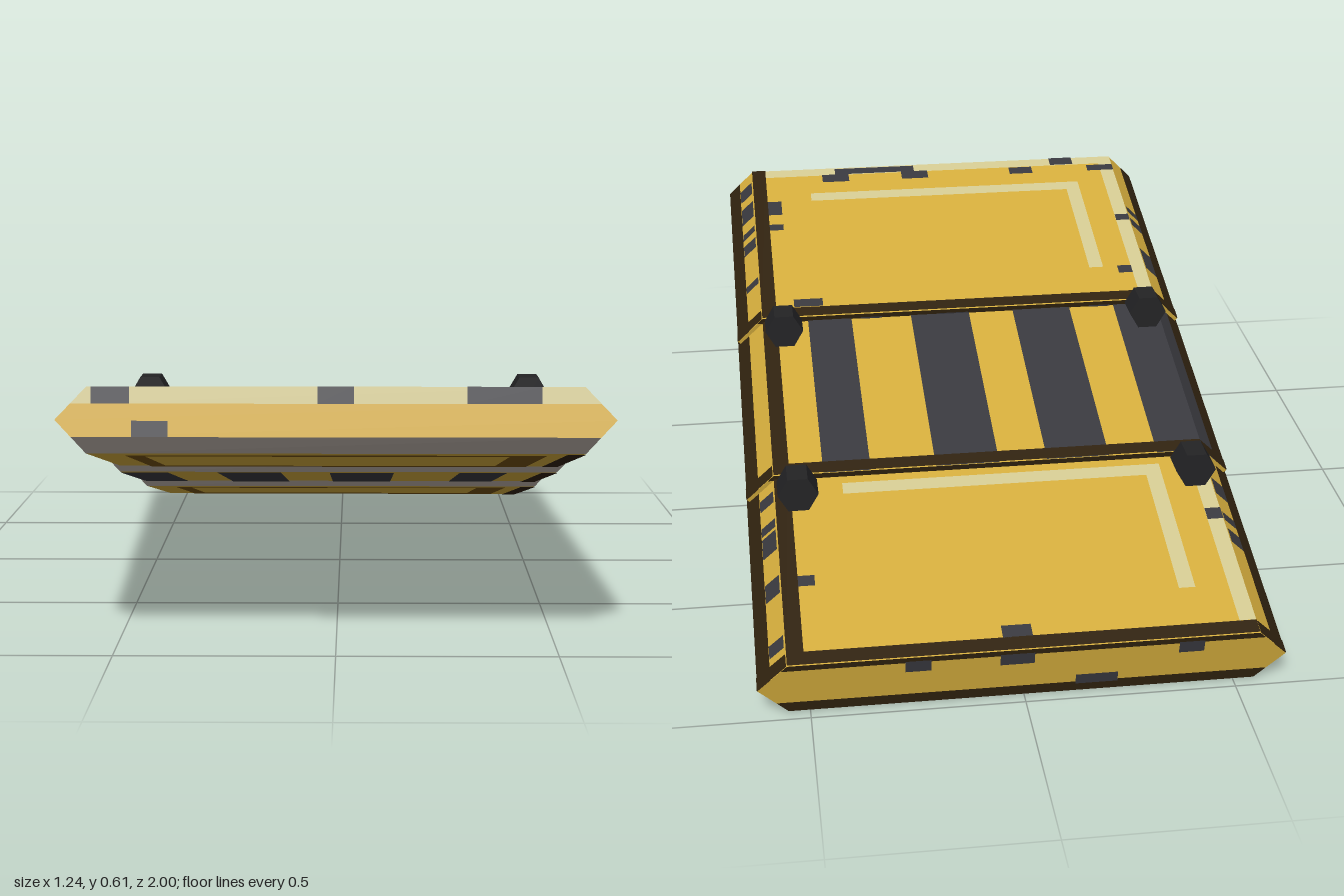
import * as THREE from 'three';

const mat = (name, color, flat = false) => {
  const m = new THREE.MeshStandardMaterial({ color, flatShading: flat });
  m.name = name;
  return m;
};

// Plate cross-section: a wide hexagon, extruded along z
const W = 0.55, M = 0.62, H = 0.074, L = 0.3725, TILT = 0.213, LIFT = 0.002;
const halfWidth = (y) => M - (M - W) * Math.abs(y) / H;

export function createModel() {
  const mats = {
    yellow: mat('safety yellow', 0xd6ae3d),
    cream: mat('worn cream', 0xd4ca92),
    ochre: mat('grime ochre', 0x74500f),
    brown: mat('dark brown edge', 0x30220f),
    charcoal: mat('charcoal', 0x39393f),
    black: mat('roller black', 0x232325, true),
  };
  const model = new THREE.Group();
  model.name = 'steppedPlatform';

  // Collects flat quads by colour and turns them into meshes
  function painter(group) {
    const bins = {};
    const quad = (c, a, b, d, e) => (bins[c] ??= []).push(...a, ...b, ...d, ...a, ...d, ...e);
    const p = {
      // strip running along z; (ax,ay) to (bx,by) goes counter-clockwise seen from +z
      strip: (c, [ax, ay], [bx, by], z0 = -L, z1 = L) =>
        quad(c, [ax, ay, z0], [bx, by, z0], [bx, by, z1], [ax, ay, z1]),
      top: (c, x0, x1, z0, z1, h = LIFT) => p.strip(c, [x1, H + h], [x0, H + h], z0, z1),
      bottom: (c, x0, x1, z0, z1, h = LIFT) => p.strip(c, [x0, -H - h], [x1, -H - h], z0, z1),
      // band on a sloped side, between heights y0 < y1
      side: (c, s, y0, y1, z0, z1, h = 0) => {
        const lo = [s * (halfWidth(y0) + h), y0], hi = [s * (halfWidth(y1) + h), y1];
        if (s > 0) p.strip(c, lo, hi, z0, z1); else p.strip(c, hi, lo, z0, z1);
      },
      // band on an end face; s = 1 front, -1 back
      end: (c, s, y0, y1) => {
        const z = s * L, a = s * halfWidth(y0), b = s * halfWidth(y1);
        quad(c, [-a, y0, z], [a, y0, z], [b, y1, z], [-b, y1, z]);
      },
      endPatch: (c, s, x0, x1, y0, y1) => {
        const z = s * (L + LIFT), a = s > 0 ? x0 : x1, b = s > 0 ? x1 : x0;
        quad(c, [a, y0, z], [b, y0, z], [b, y1, z], [a, y1, z]);
      },
      finish: () => Object.entries(bins).forEach(([c, v]) => {
        const g = new THREE.BufferGeometry();
        g.setAttribute('position', new THREE.Float32BufferAttribute(v, 3));
        g.computeVertexNormals();
        const mesh = new THREE.Mesh(g, mats[c]);
        mesh.name = `${group.name} ${mats[c].name}`;
        group.add(mesh);
      }),
    };
    return p;
  }

  function addPlate(name, step, decorate, striped) {
    const g = new THREE.Group();
    g.name = name;
    g.position.set(0, 0.301 + step * 0.15, step * 0.622);
    g.rotation.x = -TILT;
    const p = painter(g);
    // Body faces
    p.top('yellow', -W, W, -L, L, 0);
    p.bottom('yellow', -W, W, -L, L, 0);
    for (const s of [-1, 1]) {
      p.side(striped && s < 0 ? 'charcoal' : 'yellow', s, 0.033, H);
      p.side('brown', s, 0, 0.033);
      p.side(striped ? 'charcoal' : 'yellow', s, -0.038, 0);
      p.side('brown', s, -H, -0.038);
    }
    for (const [c, y0, y1] of [['brown', -H, -0.038], ['yellow', -0.038, 0], ['yellow', 0, 0.036], ['cream', 0.036, H]])
      p.end(c, 1, y0, y1);
    for (const [c, y0, y1] of [['brown', -H, -0.045], ['yellow', -0.045, 0], ['yellow', 0, 0.058], ['brown', 0.058, H]])
      p.end(c, -1, y0, y1);
    // Dark rims along the back and one side
    p.top('brown', -W, W, -L, -L + 0.04, LIFT * 2);
    p.top('brown', 0.51, W, -L, L, LIFT * 2);
    p.bottom('brown', 0.51, W, -L, L);
    for (const s of [-1, 1]) {
      p.side('brown', s, 0.001, H, -L, -L + 0.04, LIFT);
      p.side('brown', s, -H, -0.001, L - 0.035, L, LIFT);
    }
    decorate(p);
    p.finish();
    model.add(g);
  }

  // Striped middle plate, same stripes above and below
  const stripes = (p) => {
    for (const [x0, x1] of [[-W, -0.43], [-0.305, -0.145], [-0.022, 0.14], [0.305, 0.425]]) {
      p.top('charcoal', x0, x1, -L, L);
      p.bottom('charcoal', x0, x1, -L, L);
    }
  };

  // Panel markings shared by the two yellow plates; chips are [x0, x1, z0, z1]
  const panel = (chips, sideChips) => (p) => {
    p.top('cream', -0.43, -0.39, -0.21, 0.24);
    p.top('cream', -0.39, 0.38, 0.2, 0.24);
    p.top('cream', -W, -0.51, -0.33, L);
    p.top('cream', -0.51, 0.51, 0.335, L);
    for (const c of chips) p.top('charcoal', ...c, LIFT * 2);
    // Grime frame underneath
    p.bottom('ochre', -0.47, 0.47, 0.27, 0.33);
    p.bottom('ochre', -0.47, 0.47, -0.32, -0.21);
    p.bottom('ochre', -0.47, -0.43, -0.21, 0.27);
    p.bottom('ochre', 0.39, 0.47, -0.21, 0.27);
    // Chipped paint on the slopes and ends
    for (const [s, z, w] of sideChips) p.side('charcoal', s, 0.036, H - 0.002, z, z + w, LIFT);
    for (const [s, z, w] of [[1, 0, 0.04], [1, -0.17, 0.06], [1, -0.28, 0.05], [-1, 0.1, 0.05], [-1, -0.2, 0.06]])
      p.side('charcoal', s, -0.036, -0.004, z, z + w, LIFT);
    for (const [x0, x1] of [[-0.54, -0.455], [-0.04, 0.04], [0.29, 0.455]]) p.endPatch('charcoal', 1, x0, x1, 0.036, H);
    p.endPatch('charcoal', 1, -0.45, -0.37, -0.038, -0.002);
    for (const [x0, x1] of [[-0.42, -0.36], [-0.02, 0.06], [0.22, 0.28]]) p.endPatch('charcoal', -1, x0, x1, 0.03, 0.064);
    p.endPatch('charcoal', -1, -0.22, -0.12, -0.05, -0.02);
  };

  addPlate('frontPlate', 1, panel([
    [-0.43, -0.36, 0.335, L], [-0.3, -0.23, 0.295, 0.33], [-0.55, -0.47, 0.295, 0.325], [0.02, 0.1, 0.295, 0.335],
    [0.06, 0.3, 0.335, 0.365], [0.26, 0.34, 0.295, 0.335], [0.47, 0.51, 0.13, 0.2], [0.47, 0.51, 0.05, 0.08],
    [0.38, 0.46, -0.33, -0.295], [-0.51, -0.47, -0.245, -0.21], [-0.55, -0.51, 0.02, 0.05],
  ], [[-1, -0.22, 0.1], [-1, 0, 0.04], [-1, 0.07, 0.03], [1, 0.26, 0.06], [1, 0.14, 0.08], [1, 0.06, 0.03],
    [1, -0.02, 0.05], [1, -0.2, 0.03]]), false);
  addPlate('middlePlate', 0, stripes, true);
  addPlate('backPlate', -1, panel([
    [-0.02, 0.05, -0.335, -0.295], [0.47, 0.51, -0.12, -0.085], [-0.55, -0.47, 0.21, 0.24], [-0.55, -0.51, 0.02, 0.06],
  ], [[-1, -0.06, 0.05], [-1, 0.02, 0.03], [-1, 0.12, 0.06], [1, 0.19, 0.04], [1, 0.1, 0.03], [1, 0.02, 0.07],
    [1, -0.13, 0.06], [1, -0.31, 0.04]]), false);

  // Hexagonal rollers floating above the plates
  const rollerGeo = new THREE.CylinderGeometry(0.05, 0.05, 0.075, 6, 1, false, Math.PI / 6).rotateX(Math.PI / 2);
  for (const x of [-0.495, 0.495])
    for (const [y, z] of [[0.476, 0.122], [0.325, -0.5]]) {
      const r = new THREE.Mesh(rollerGeo, mats.black);
      r.name = 'roller';
      r.position.set(x, y, z);
      model.add(r);
    }
  return model;
}
